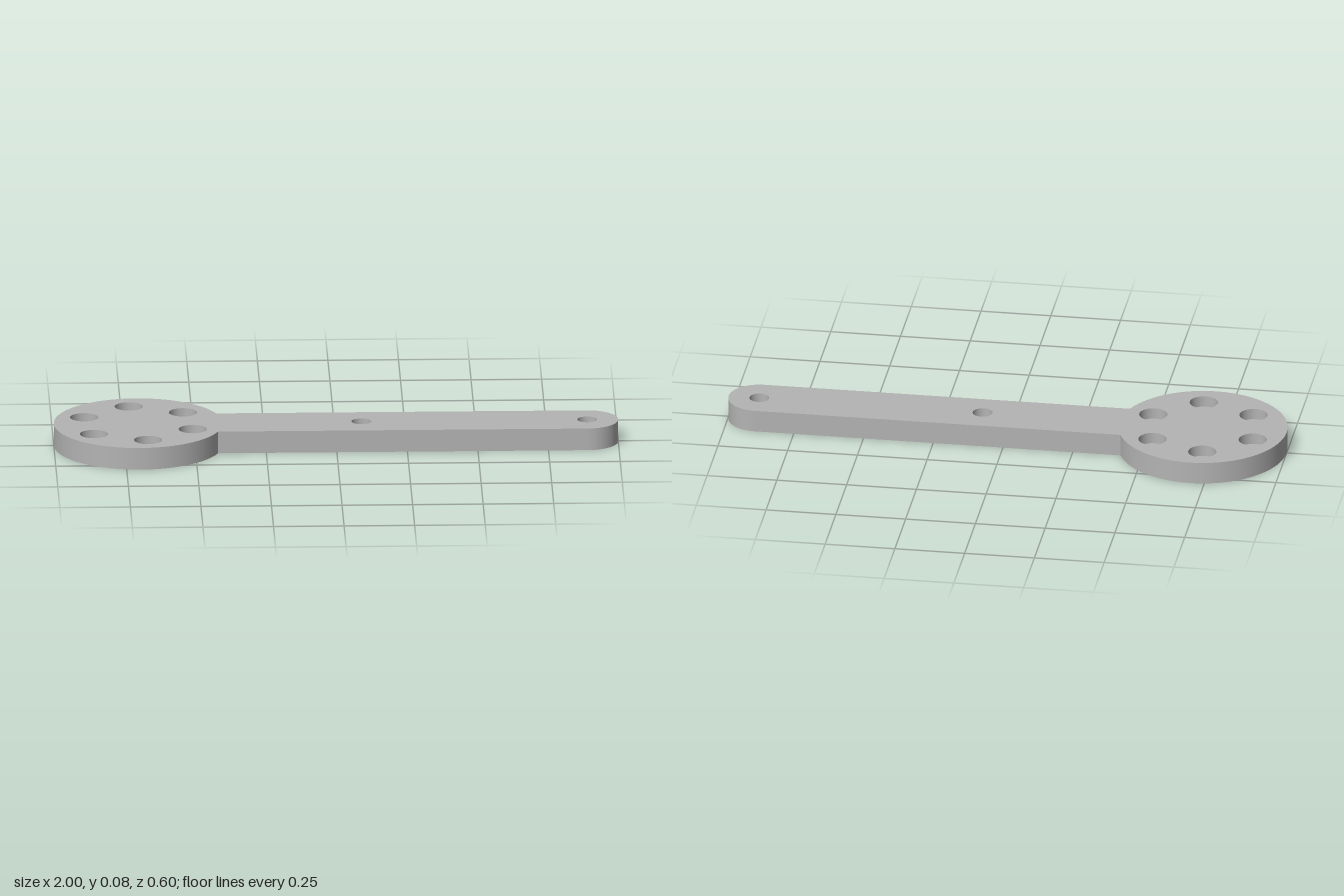
import * as THREE from 'three';

const HEIGHT = 0.08, LEDGE = 0.04;
const DISC = { x: -0.7, r: 0.3 };
const ARM = { r: 0.11, endX: 0.89 };
const BORE_R = 0.05, SCREW_R = 0.03, PIN_R = 0.035;
const NECK = Math.asin(ARM.r / DISC.r); // angle where the arm meets the disc
const NECK_X = DISC.x + DISC.r * Math.cos(NECK);

// six counterbored holes around the disc, two plain holes along the arm
const screwHoles = Array.from({ length: 6 }, (_, i) => {
  const a = THREE.MathUtils.degToRad(22 + i * 60);
  return [DISC.x + 0.205 * Math.cos(a), 0.205 * Math.sin(a)];
});
const pinHoles = [[0.09, 0], [ARM.endX, 0]];

// flat outline of the whole plate; zSign maps z to the shape's y
function plateShape(screwRadius, zSign) {
  const shape = new THREE.Shape();
  shape.absarc(DISC.x, 0, DISC.r, NECK, Math.PI * 2 - NECK, false);
  shape.absarc(ARM.endX, 0, ARM.r, -Math.PI / 2, Math.PI / 2, false);
  shape.closePath();
  const cut = ([x, z], r) =>
    shape.holes.push(new THREE.Path().absarc(x, z * zSign, r, 0, Math.PI * 2, true));
  screwHoles.forEach((p) => cut(p, screwRadius));
  pinHoles.forEach((p) => cut(p, PIN_R));
  return new THREE.ShapeGeometry(shape, 32);
}

export function createModel() {
  const group = new THREE.Group();
  const grey = new THREE.MeshStandardMaterial({ color: 0xb4b4b4 });
  grey.name = 'grey';

  const add = (name, geometry, x = 0, y = 0, z = 0) => {
    const mesh = new THREE.Mesh(geometry, grey);
    mesh.name = name;
    mesh.position.set(x, y, z);
    group.add(mesh);
    return mesh;
  };
  // a band swept round y: upward profile faces out, downward faces in
  const band = (name, [x, z], r0, y0, r1, y1, start = 0, sweep = Math.PI * 2) =>
    add(name, new THREE.LatheGeometry(
      [new THREE.Vector2(r0, y0), new THREE.Vector2(r1, y1)], 64, start, sweep), x, 0, z);

  // top and bottom faces
  add('topFace', plateShape(BORE_R, -1).rotateX(-Math.PI / 2), 0, HEIGHT);
  add('bottomFace', plateShape(SCREW_R, 1).rotateX(Math.PI / 2));

  // outer walls
  band('discRim', [DISC.x, 0], DISC.r, 0, DISC.r, HEIGHT,
    Math.PI / 2 + NECK, Math.PI * 2 - NECK * 2);
  band('armEnd', [ARM.endX, 0], ARM.r, 0, ARM.r, HEIGHT, 0, Math.PI);
  for (const side of [1, -1]) {
    const wall = add(side > 0 ? 'armFrontSide' : 'armBackSide',
      new THREE.PlaneGeometry(ARM.endX - NECK_X, HEIGHT),
      (ARM.endX + NECK_X) / 2, HEIGHT / 2, side * ARM.r);
    if (side < 0) wall.rotation.y = Math.PI;
  }

  // counterbored holes: wide wall, ledge, narrow wall
  for (const p of screwHoles) {
    band('counterboreWall', p, BORE_R, HEIGHT, BORE_R, LEDGE);
    band('counterboreLedge', p, BORE_R, LEDGE, SCREW_R, LEDGE);
    band('screwHoleWall', p, SCREW_R, LEDGE, SCREW_R, 0);
  }
  // plain through holes
  for (const p of pinHoles) band('armHoleWall', p, PIN_R, HEIGHT, PIN_R, 0);

  return group;
}
